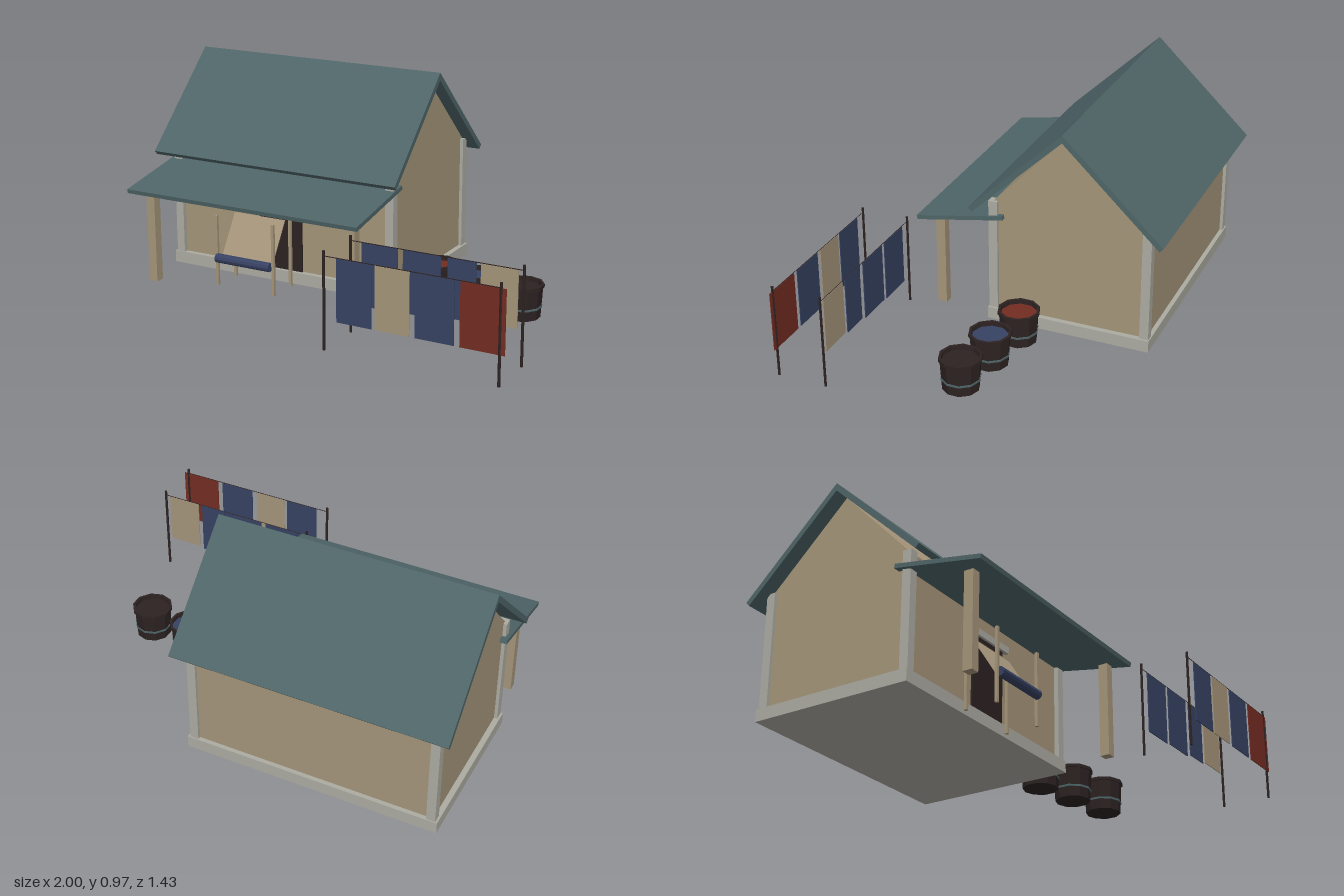
import * as THREE from 'three';

const mat = (name, color, extra = {}) => {
  const m = new THREE.MeshStandardMaterial({ color, flatShading: true, ...extra });
  m.name = name;
  return m;
};

export function createModel() {
  const model = new THREE.Group();
  model.name = 'dyersCottage';
  const plaster = mat('tan', 0xa5957a);
  const stone = mat('stone grey', 0xacaba2);
  const roofing = mat('slate teal', 0x4f6568);
  const dark = mat('dark wood', 0x2d2222);
  const blue = mat('indigo', 0x374263);
  const red = mat('madder red', 0x732c22);

  const add = (name, geometry, material, parent = model) => {
    const mesh = new THREE.Mesh(geometry, material);
    mesh.name = name;
    parent.add(mesh);
    return mesh;
  };
  // Box given by its extents on each axis
  const box = (name, [x0, x1], [y0, y1], [z0, z1], material, parent) => {
    const g = new THREE.BoxGeometry(x1 - x0, y1 - y0, z1 - z0);
    g.translate((x0 + x1) / 2, (y0 + y1) / 2, (z0 + z1) / 2);
    return add(name, g, material, parent);
  };
  // Profile of [z, y] points stretched along x
  const prism = (name, points, x0, x1, material) => {
    const shape = new THREE.Shape(points.map(([z, y]) => new THREE.Vector2(z, y)));
    const g = new THREE.ExtrudeGeometry(shape, { depth: x1 - x0, bevelEnabled: false });
    g.rotateY(-Math.PI / 2).translate(x1, 0, 0);
    return add(name, g, material);
  };
  // Horizontal bar along x
  const bar = (name, x0, x1, y, z, r, sides, material, parent) => {
    const g = new THREE.CylinderGeometry(r, r, x1 - x0, sides);
    g.rotateZ(Math.PI / 2).translate((x0 + x1) / 2, y, z);
    return add(name, g, material, parent);
  };

  // House body
  box('plinth', [-0.955, 0.21], [0, 0.055], [-0.655, 0.1], stone);
  prism('walls', [[0.075, 0.05], [0.075, 0.578], [-0.26, 0.93], [-0.635, 0.575], [-0.635, 0.05]],
    -0.93, 0.185, plaster);
  for (const x of [-0.945, 0.16])
    for (const z of [-0.65, 0.055])
      box('cornerPost', [x, x + 0.04], [0.05, 0.578], [z, z + 0.041], stone);
  prism('mainRoof', [[0.173, 0.552], [-0.26, 0.966], [-0.715, 0.535], [-0.698, 0.517],
    [-0.26, 0.931], [0.156, 0.534]], -1, 0.245, roofing);

  // Doorway
  box('door', [-0.49, -0.27], [0.055, 0.395], [0.074, 0.083], dark);
  box('lintel', [-0.515, -0.24], [0.395, 0.425], [0.07, 0.095], stone);

  // Porch
  prism('porchRoof', [[0.441, 0.443], [0.03, 0.519], [0.026, 0.5], [0.437, 0.424]],
    -0.962, 0.208, roofing);
  for (const x of [-0.91, 0.118])
    box('porchPost', [x, x + 0.042], [0, 0.424], [0.327, 0.37], plaster);

  // Loom with slanted web and cloth roll
  const loom = new THREE.Group();
  loom.name = 'loom';
  model.add(loom);
  for (const x of [-0.605, -0.31])
    for (const z of [0.122, 0.268])
      box('loomLeg', [x, x + 0.013], [0, 0.33], [z, z + 0.013], plaster, loom);
  box('loomTopRail', [-0.605, -0.297], [0.316, 0.329], [0.122, 0.135], plaster, loom);
  const web = add('loomWeb', new THREE.BoxGeometry(0.265, 0.21, 0.004), plaster, loom);
  web.position.set(-0.45, 0.224, 0.203);
  web.rotation.x = -Math.atan2(0.111, 0.177);
  bar('clothRoll', -0.595, -0.313, 0.133, 0.285, 0.021, 10, blue, loom);

  // Two clotheslines: [x0, x1, drop, colour] for each cloth
  const rows = [
    [0.49, [[0.26, 0.427, 0.275, blue], [0.45, 0.62, 0.27, blue],
      [0.65, 0.775, 0.255, blue], [0.795, 0.955, 0.245, plaster]]],
    [0.712, [[0.266, 0.425, 0.27, blue], [0.44, 0.592, 0.27, plaster],
      [0.617, 0.785, 0.27, blue], [0.81, 1, 0.27, red]]],
  ];
  for (const [z, cloths] of rows) {
    const line = new THREE.Group();
    line.name = 'clothesline';
    model.add(line);
    for (const x of [0.208, 0.978]) {
      const g = new THREE.CylinderGeometry(0.006, 0.006, 0.425, 6);
      g.translate(x, 0.2125, z);
      add('linePole', g, dark, line);
    }
    bar('rope', 0.208, 0.978, 0.403, z, 0.002, 4, dark, line);
    for (const [x0, x1, drop, m] of cloths)
      box('hangingCloth', [x0, x1], [0.401 - drop, 0.401], [z - 0.002, z + 0.002], m, line);
  }

  // Dye vats
  const vat = [[0, 0], [0.08, 0], [0.088, 0.135], [0.094, 0.135], [0.094, 0.15],
    [0.082, 0.15], [0.08, 0.115]].map(([r, y]) => new THREE.Vector2(r, y));
  for (const [x, z, dye] of [[0.322, -0.1, red], [0.54, -0.062, blue], [0.76, -0.028, dark]]) {
    const tub = new THREE.Group();
    tub.name = 'dyeVat';
    tub.position.set(x, 0, z);
    model.add(tub);
    add('vatBody', new THREE.LatheGeometry(vat, 10), dark, tub);
    const hoop = new THREE.CylinderGeometry(0.0865, 0.086, 0.009, 10, 1);
    add('vatHoop', hoop.translate(0, 0.05, 0), roofing, tub);
    const liquid = new THREE.CircleGeometry(0.0815, 10);
    liquid.rotateX(-Math.PI / 2).rotateY(Math.PI / 10 * 5).translate(0, 0.13, 0);
    add('dyeSurface', liquid, dye, tub);
  }
  return model;
}
